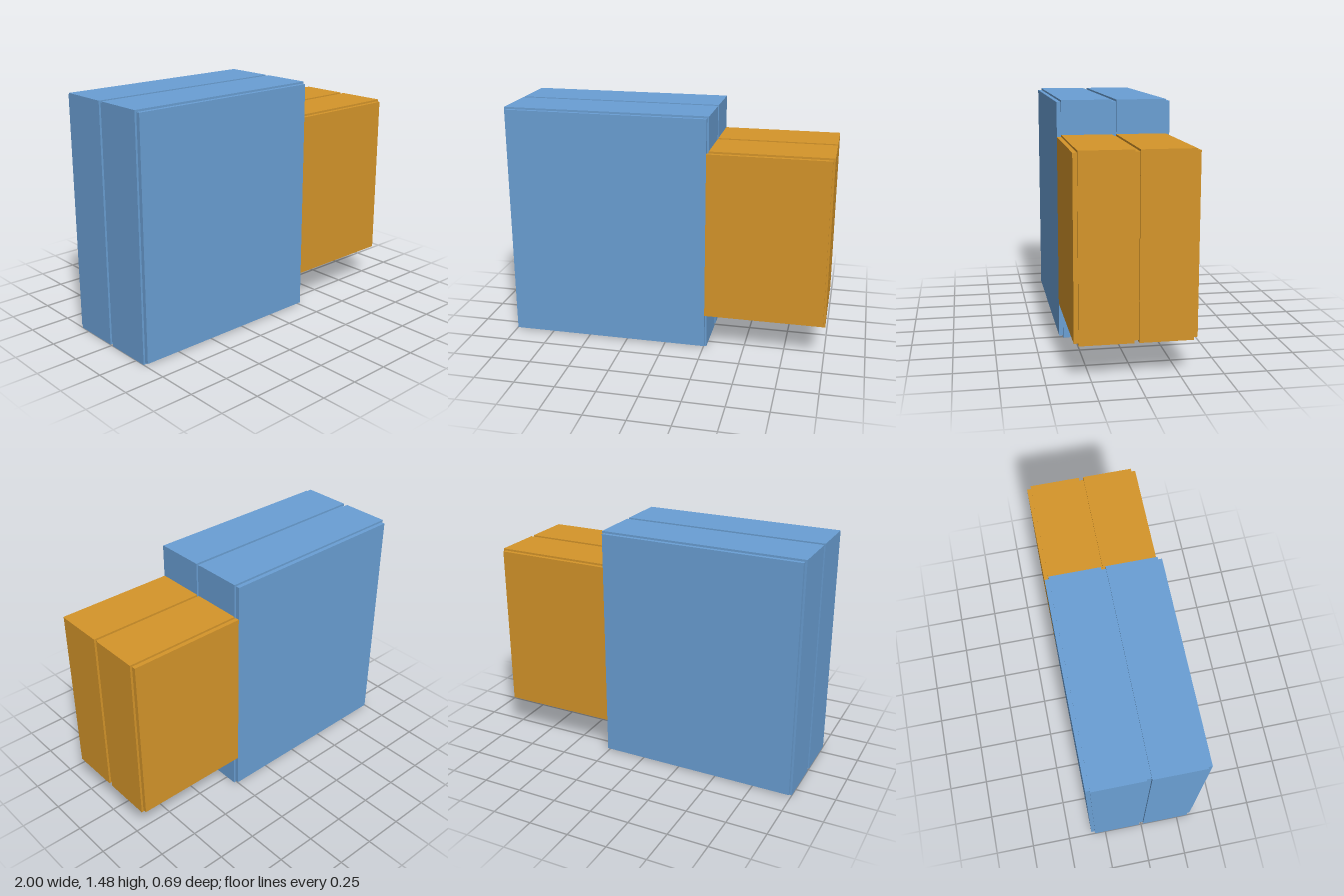
import * as THREE from 'three';

// Box given by its min and max on each axis
function box(name, material, [x0, x1], [y0, y1], [z0, z1]) {
  const mesh = new THREE.Mesh(new THREE.BoxGeometry(x1 - x0, y1 - y0, z1 - z0), material);
  mesh.position.set((x0 + x1) / 2, (y0 + y1) / 2, (z0 + z1) / 2);
  mesh.name = name;
  return mesh;
}

// Block made of a full-depth core and two wider slabs, leaving shallow grooves between them
function groovedBlock(name, color, coreX, coreY, slabX, slabY) {
  const material = new THREE.MeshStandardMaterial({ color });
  const block = new THREE.Group();
  block.name = name;
  block.add(
    box(name + 'Core', material, coreX, coreY, [-0.345, 0.345]),
    box(name + 'FrontSlab', material, slabX, slabY, [0.014, 0.32]),
    box(name + 'BackSlab', material, slabX, slabY, [-0.32, -0.014])
  );
  return block;
}

export function createModel() {
  const model = new THREE.Group();
  model.name = 'steppedBlocks';
  model.add(
    groovedBlock('largeBlock', 0x6a9fd4, [-0.988, 0.256], [0.012, 1.468], [-1, 0.267], [0, 1.48]),
    groovedBlock('smallBlock', 0xd5952a, [0.256, 0.987], [0.222, 1.26], [0.267, 1], [0.21, 1.272])
  );
  return model;
}
